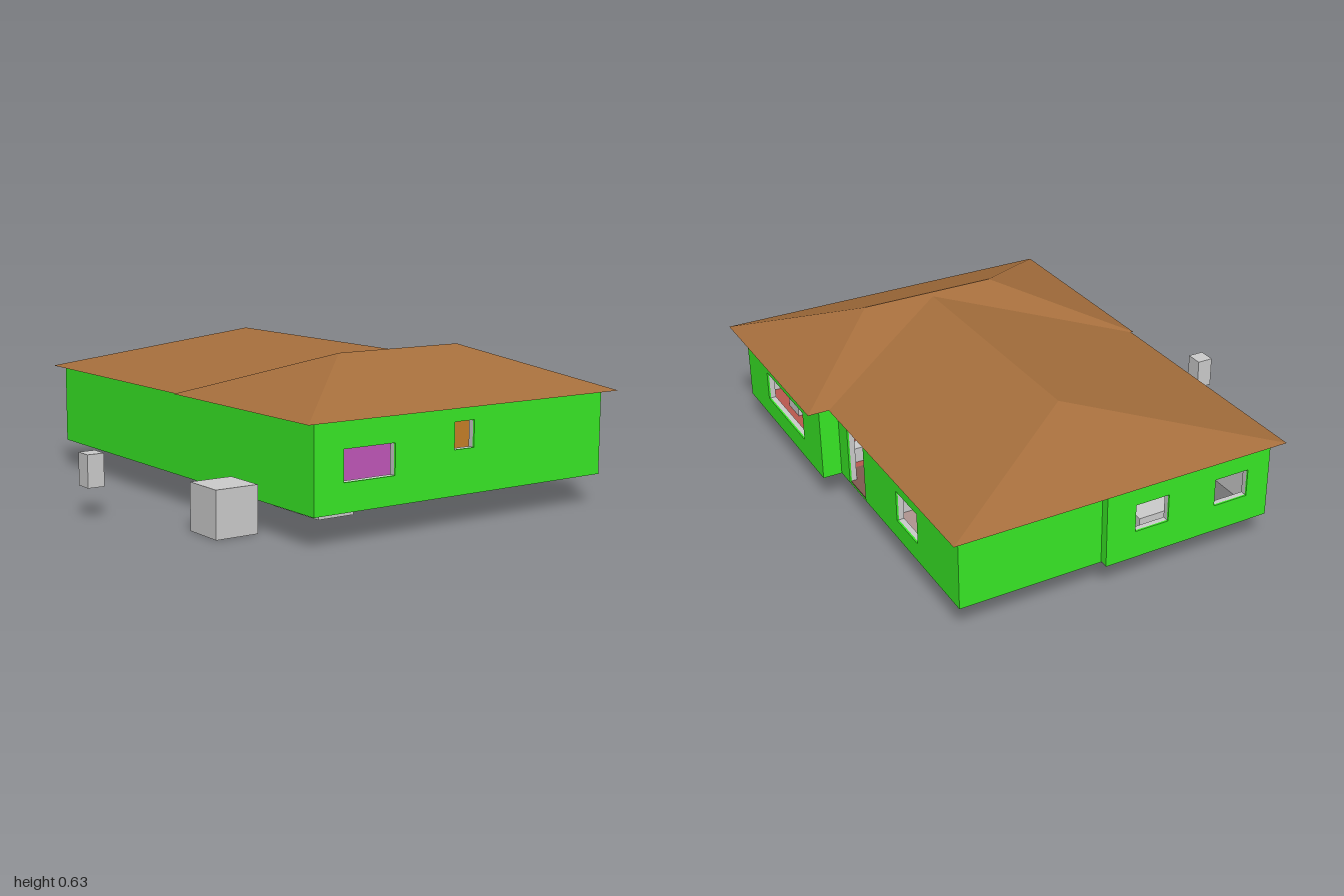
import * as THREE from 'three';

const mat = (color, side = THREE.FrontSide) => new THREE.MeshStandardMaterial({ color, side, flatShading: true });
const GREY = mat(0xcccccc);
const GREEN = mat(0x38e826);
const ROOF = mat(0xa56e3c, THREE.DoubleSide);
const FLOOR_Y = 0.12, EAVE = 0.455;

function add(parent, name, geometry, material) {
  const mesh = new THREE.Mesh(geometry, material);
  mesh.name = name;
  parent.add(mesh);
  return mesh;
}

// Box given by its limits on each axis
function box(parent, name, [x0, x1], [y0, y1], [z0, z1], material = GREY) {
  const mesh = add(parent, name, new THREE.BoxGeometry(x1 - x0, y1 - y0, z1 - z0), material);
  mesh.position.set((x0 + x1) / 2, (y0 + y1) / 2, (z0 + z1) / 2);
}

// Wall slab along local x with openings [s0, s1, y0, y1]
function slab(s0, s1, openings, depth, back) {
  const rect = (Type, a, b, c, d) => {
    const p = new Type();
    p.moveTo(a, c);
    p.lineTo(b, c);
    p.lineTo(b, d);
    p.lineTo(a, d);
    p.closePath();
    return p;
  };
  const shape = rect(THREE.Shape, s0, s1, FLOOR_Y, EAVE - 0.003);
  shape.holes = openings.map((o) => rect(THREE.Path, ...o));
  return new THREE.ExtrudeGeometry(shape, { depth, bevelEnabled: false }).translate(0, 0, back);
}

// Roof surface from polygons, each fanned from its first corner
function roofGeometry(faces) {
  const pos = [];
  for (const f of faces)
    for (let i = 1; i < f.length - 1; i++) pos.push(...f[0], ...f[i], ...f[i + 1]);
  const g = new THREE.BufferGeometry();
  g.setAttribute('position', new THREE.Float32BufferAttribute(pos, 3));
  g.computeVertexNormals();
  return g;
}

export function createModel() {
  const house = new THREE.Group();
  house.name = 'house';

  // Outer walls: outline walked with the outside on the right hand
  const outline = [[-0.52, 0.965], [0.88, 0.965], [0.88, 0.14], [0.8, 0.14],
    [0.8, -0.915], [0.21, -0.915], [0.21, -0.95], [-0.52, -0.95]];
  const openings = {
    0: [[0.13, 0.36, 0.23, 0.35], [0.64, 0.735, 0.295, 0.4]],
    1: [[0.23, 0.635, 0.205, 0.33]],
    3: [[0.085, 0.24, 0.121, 0.385], [0.54, 0.72, 0.2, 0.33]],
    6: [[0.125, 0.27, 0.235, 0.35], [0.48, 0.63, 0.235, 0.35]],
  };
  outline.forEach(([x, z], i) => {
    const [x2, z2] = outline[(i + 1) % outline.length];
    const length = Math.hypot(x2 - x, z2 - z);
    const wall = new THREE.Group();
    wall.name = 'outerWall' + (i + 1);
    wall.position.set(x, 0, z);
    wall.rotation.y = Math.atan2(-(z2 - z), x2 - x);
    add(wall, 'wallFace', slab(0, length, openings[i] || [], 0.008, -0.008), GREEN);
    add(wall, 'wallLining', slab(0.008, length - 0.008, openings[i] || [], 0.022, -0.03), GREY);
    house.add(wall);
  });

  // Room floors
  const Y = [FLOOR_Y, FLOOR_Y + 0.006];
  const floors = [
    ['bedroomFloor', [-0.515, -0.05], [0.27, 0.96], 0xd05cd0],
    ['bathroomFloor', [-0.05, 0.24], [0.27, 0.96], 0xb4b4b4],
    ['diningFloor', [0.24, 0.875], [0.145, 0.96], 0xb9584e],
    ['hallFloor', [-0.515, 0.24], [-0.17, 0.27], 0x805a50],
    ['entranceFloor', [0.24, 0.795], [-0.17, 0.145], 0x805a50],
    ['backBedroomFloor', [0.21, 0.795], [-0.91, -0.17], 0xaf9490],
    ['kitchenFloor', [-0.515, 0.21], [-0.945, -0.17], 0x747474],
  ];
  for (const [name, xs, zs, color] of floors) box(house, name, xs, Y, zs, mat(color));

  // Partition walls between the rooms
  const H = [FLOOR_Y + 0.006, 0.45];
  const orange = mat(0xe6942f), blue = mat(0x4038e6), magenta = mat(0xe066d8);
  box(house, 'diningPartition', [0.225, 0.245], H, [0.27, 0.935], orange);
  box(house, 'backBedroomPartition', [0.19, 0.21], H, [-0.885, -0.17], blue);
  box(house, 'bedroomBackPartition', [-0.49, -0.05], H, [0.265, 0.285], magenta);
  box(house, 'bedroomSidePartition', [-0.06, -0.045], H, [0.285, 0.935], magenta);
  box(house, 'bathroomPartition', [-0.045, 0.225], H, [0.265, 0.285]);
  box(house, 'kitchenPartition', [-0.49, 0.05], H, [-0.185, -0.17]);

  // Furniture: [name, x limits, z limits, bottom, top]
  const furniture = [
    ['bed', [-0.475, -0.32], [0.65, 0.93], 0.1, 0.19],
    ['wardrobe', [-0.48, -0.3], [0.29, 0.36], 0.118, 0.38],
    ['bedroomDoor', [-0.27, -0.14], [0.285, 0.295], 0.118, 0.38],
    ['toilet', [-0.02, 0.05], [0.5, 0.6], 0.11, 0.2],
    ['basin', [-0.03, 0.05], [0.72, 0.8], 0.112, 0.24],
    ['shower', [0.05, 0.2], [0.86, 0.93], 0.115, 0.2],
    ['cabinet', [0.25, 0.5], [0.86, 0.92], 0.115, 0.2],
    ['diningTable', [0.5, 0.62], [0.54, 0.66], 0.115, 0.18],
    ['chair', [0.66, 0.78], [0.66, 0.77], 0.113, 0.205],
    ['chair', [0.6, 0.7], [0.42, 0.53], 0.113, 0.205],
    ['chair', [0.41, 0.53], [0.66, 0.75], 0.113, 0.205],
    ['chair', [0.31, 0.41], [0.42, 0.51], 0.113, 0.205],
    ['sideboard', [0.58, 0.76], [0.18, 0.24], 0.116, 0.19],
    ['hallBench', [0.46, 0.64], [-0.08, 0.06], 0.116, 0.225],
    ['dresser', [0.52, 0.74], [-0.26, -0.18], 0.116, 0.2],
    ['doubleBed', [0.4, 0.61], [-0.87, -0.57], 0.1, 0.19],
    ['kitchenCounter', [-0.28, 0.02], [-0.88, -0.76], 0.11, 0.23],
    ['stove', [-0.4, -0.3], [-0.52, -0.4], 0.115, 0.22],
    ['kitchenTable', [-0.33, -0.18], [-0.38, -0.27], 0.115, 0.2],
    ['shelf', [-0.24, -0.06], [-0.25, -0.185], 0.115, 0.22],
  ];
  for (const [name, xs, zs, y0, y1] of furniture) box(house, name, xs, [y0, y1], zs);

  // Front hip roof
  const fl = [-0.565, EAVE, 0.995], fr = [0.945, EAVE, 0.995];
  const bl = [-0.565, EAVE, 0.085], br = [0.945, EAVE, 0.085];
  const r0 = [-0.1, 0.63, 0.54], r1 = [0.49, 0.63, 0.54];
  add(house, 'frontRoof', roofGeometry([[fl, fr, r1, r0], [fr, br, r1], [br, bl, r0, r1], [bl, fl, r0]]), ROOF);

  // Rear roof, running into the back slope of the front roof
  const vl = [-0.555, EAVE, 0.09], vr = [0.857, EAVE, 0.09];
  const cl = [-0.555, EAVE, -1], cr = [0.857, EAVE, -1];
  const q0 = [0.185, 0.622, 0.515], q1 = [0.185, 0.622, -0.55];
  add(house, 'rearRoof', roofGeometry([[cl, vl, q0, q1], [vr, cr, q1, q0], [cr, cl, q1]]), ROOF);

  // Detached boxes beside the house
  box(house, 'yardBlock', [-0.715, -0.535], [0, 0.185], [0.455, 0.635]);
  box(house, 'yardPost', [-0.95, -0.88], [0.125, 0.255], [0.02, 0.095]);

  return house;
}
